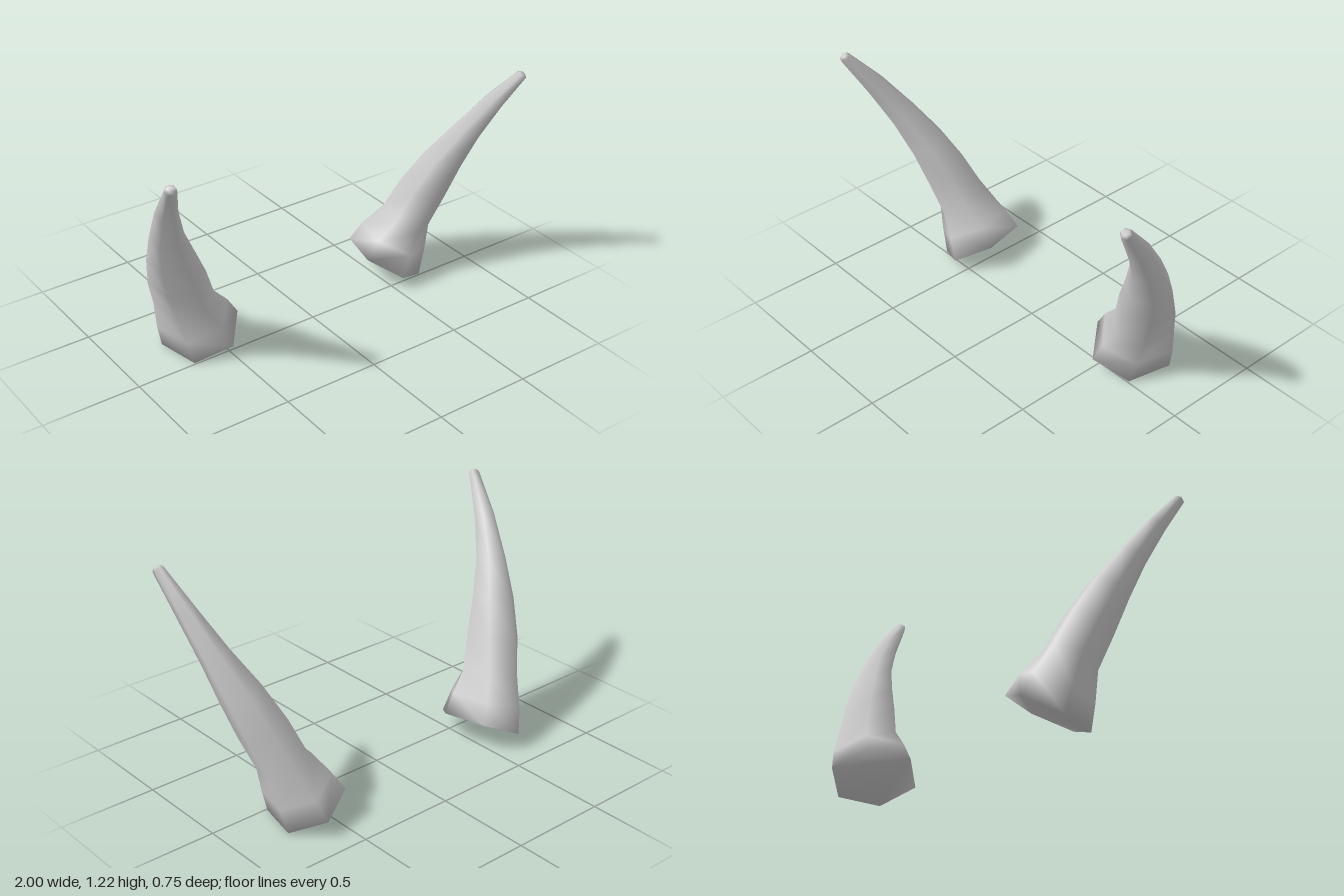
import * as THREE from 'three';

// Horn cross-sections from base to tip: centre, then two hexagon spokes (a and c).
// The six corners are a, a+c, c and their opposites.
const SECTIONS = [
  [[0.57, 0.076, -0.153], [-0.17, 0.075, 0.08], [0.05, 0.004, -0.225]],
  [[0.615, 0.185, -0.14], [-0.155, 0.06, 0.075], [0.045, 0.003, -0.2]],
  [[0.675, 0.315, -0.11], [-0.125, 0.027, 0.07], [0.04, 0.025, -0.15]],
  [[0.735, 0.478, -0.058], [-0.122, 0.02, 0.06], [0.03, 0.022, -0.132]],
  [[0.8, 0.65, 0.01], [-0.1, 0.012, 0.048], [0.02, 0.03, -0.1]],
  [[0.865, 0.825, 0.1], [-0.07, 0.006, 0.035], [0.015, 0.027, -0.073]],
  [[0.925, 1.015, 0.218], [-0.046, 0, 0.024], [0.01, 0.026, -0.048]],
  [[0.973, 1.197, 0.351], [-0.025, 0, 0.012], [0.004, 0.013, -0.025]],
  [[0.975, 1.209, 0.357], [-0.016, 0, 0.008], [0.003, 0.007, -0.016]],
];
// Corner weights of (a, c), counter-clockwise seen from above
const CORNERS = [[1, 0], [0, -1], [-1, -1], [-1, 0], [0, 1], [1, 1]];

function hornGeometry(side) {
  const positions = [];
  const index = [];
  const n = CORNERS.length;
  // Mirroring in x also flips the winding
  const face = (a, b, c) => (side > 0 ? index.push(a, b, c) : index.push(a, c, b));
  const add = (x, y, z) => positions.push(side * x, y, z);

  for (const [centre, a, c] of SECTIONS) {
    for (const [wa, wc] of CORNERS) {
      add(...centre.map((v, k) => v + wa * a[k] + wc * c[k]));
    }
  }

  // Side walls
  for (let r = 0; r < SECTIONS.length - 1; r++) {
    for (let i = 0; i < n; i++) {
      const p = r * n + i;
      const q = r * n + ((i + 1) % n);
      face(p, q, q + n);
      face(p, q + n, p + n);
    }
  }

  // Flat base and blunt tip
  const top = (SECTIONS.length - 1) * n;
  for (let i = 1; i < n - 1; i++) {
    face(0, i + 1, i);
    face(top, top + i, top + i + 1);
  }

  const geometry = new THREE.BufferGeometry();
  geometry.setAttribute('position', new THREE.Float32BufferAttribute(positions, 3));
  geometry.setIndex(index);
  geometry.computeVertexNormals();
  return geometry;
}

export function createModel() {
  const group = new THREE.Group();
  group.name = 'hornPair';
  const material = new THREE.MeshStandardMaterial({ color: 0xcccccc });
  material.name = 'light grey horn';

  for (const [name, side] of [['leftHorn', 1], ['rightHorn', -1]]) {
    const horn = new THREE.Mesh(hornGeometry(side), material);
    horn.name = name;
    group.add(horn);
  }
  return group;
}
